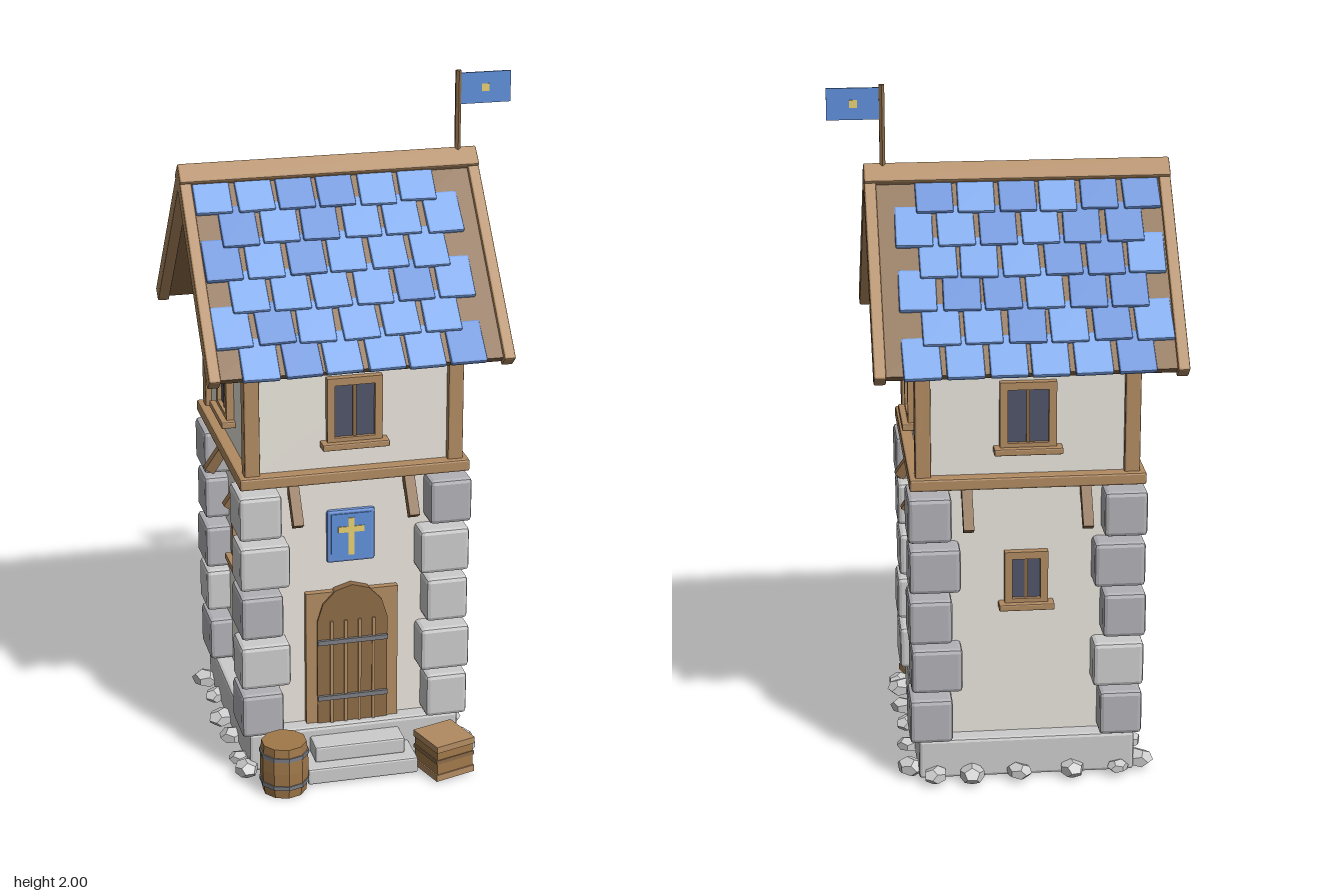
import * as THREE from 'three';
import { RoundedBoxGeometry } from 'three/addons/geometries/RoundedBoxGeometry.js';

const mat = (color) => new THREE.MeshStandardMaterial({ color, flatShading: true });
const M = {
  plaster: mat(0xe9e5dc), wood: mat(0xb18b62), darkWood: mat(0x8a6a48), door: mat(0x8c6a46),
  stoneA: mat(0xc8c8c8), stoneB: mat(0xb2b1b6), base: mat(0xc4c4c4), iron: mat(0x7c7e84),
  tileA: mat(0x7ba6ea), tileB: mat(0x6a92d8), banner: mat(0x5f90da), gold: mat(0xe8d070),
  glass: mat(0x505468), barrel: mat(0xa0784a),
};

let seed = 7;
const rand = () => (seed = (seed * 16807) % 2147483647) / 2147483647;

function add(parent, name, geo, material, x = 0, y = 0, z = 0) {
  const mesh = new THREE.Mesh(geo, material);
  mesh.name = name;
  mesh.position.set(x, y, z);
  parent.add(mesh);
  return mesh;
}
const box = (p, name, m, w, h, d, x, y, z) => add(p, name, new THREE.BoxGeometry(w, h, d), m, x, y, z);
const soft = (p, name, m, w, h, d, x, y, z, r = 0.008) =>
  add(p, name, new RoundedBoxGeometry(w, h, d, 1, r), m, x, y, z);

function group(parent, name, x = 0, y = 0, z = 0) {
  const g = new THREE.Group();
  g.name = name;
  g.position.set(x, y, z);
  parent.add(g);
  return g;
}

// Framed window with mullion and sill, centred on its wall plane
function addWindow(parent, name, w, h, y, z) {
  const g = group(parent, name, 0, y, z);
  const t = 0.022;
  box(g, 'glass', M.glass, w - t, h - t, 0.016, 0, 0, 0);
  for (const s of [-1, 1]) {
    box(g, 'frameSide', M.wood, t, h, 0.04, s * (w - t) / 2, 0, 0);
    box(g, 'frameRail', M.wood, w, t, 0.04, 0, s * (h - t) / 2, 0);
  }
  box(g, 'mullion', M.darkWood, 0.01, h - t, 0.024, 0, 0, 0);
  soft(g, 'sill', M.wood, w + 0.035, 0.02, 0.06, 0, -h / 2, 0.008, 0.004);
}

function addDoor(p, z) {
  const g = group(p, 'door', 0, 0.13, z);
  box(g, 'doorFrame', M.wood, 0.275, 0.42, 0.03, 0, 0.21, 0.005);
  const w = 0.105;
  const arch = new THREE.Shape([[-w, 0], [w, 0], [w, 0.33], [0.088, 0.385], [0.05, 0.425], [0, 0.44],
    [-0.05, 0.425], [-0.088, 0.385], [-w, 0.33]].map(([x, y]) => new THREE.Vector2(x, y)));
  add(g, 'doorLeaf', new THREE.ExtrudeGeometry(arch, { depth: 0.026, bevelEnabled: false }), M.door);
  for (const x of [-0.063, -0.021, 0.021, 0.063])
    box(g, 'plankBatten', M.wood, 0.009, 0.33, 0.012, x, 0.165, 0.025);
  for (const y of [0.085, 0.265]) box(g, 'ironStrap', M.iron, 0.21, 0.014, 0.014, 0, y, 0.028);
}

function addRoofSide(root, s) {
  const turn = group(root, s > 0 ? 'frontRoof' : 'backRoof', 0, 1.735, 0);
  turn.rotation.y = s > 0 ? 0 : Math.PI;
  const slope = group(turn, 'slope');
  slope.rotation.x = 0.848;
  box(slope, 'roofBoard', M.darkWood, 0.82, 0.026, 0.62, 0, 0, 0.31);
  for (const e of [-1, 1]) soft(slope, 'bargeBoard', M.wood, 0.034, 0.046, 0.635, e * 0.418, 0, 0.312, 0.005);
  // Six staggered rows of shingles, nearly flush with the barge boards
  for (let r = 0; r < 6; r++) for (let i = 0; i < 6; i++) {
    const x = -0.289 + i * 0.118 + (r % 2 ? -0.058 : 0) + (rand() - 0.5) * 0.006;
    const tile = soft(slope, 'shingle', rand() < 0.3 ? M.tileB : M.tileA,
      0.105, 0.018, 0.13, s * x, 0.012, 0.568 - r * 0.101 + (rand() - 0.5) * 0.006, 0.005);
    tile.rotation.set(-0.09, (rand() - 0.5) * 0.05, 0);
  }
}

function addBarrel(p) {
  const g = group(p, 'barrel', -0.286, 0, 0.385);
  const profile = [[0, 0.005], [0.064, 0.005], [0.07, 0.05], [0.071, 0.085], [0.07, 0.12], [0.066, 0.162],
    [0, 0.162]].map(([x, y]) => new THREE.Vector2(x, y));
  add(g, 'staves', new THREE.LatheGeometry(profile, 10), M.barrel);
  for (const y of [0.04, 0.13])
    add(g, 'hoop', new THREE.CylinderGeometry(0.0725, 0.0725, 0.012, 10), M.iron, 0, y, 0);
}

function addCrate(p) {
  const g = group(p, 'crate', 0.195, 0.066, 0.383);
  g.rotation.y = 0.3;
  box(g, 'crateBody', M.barrel, 0.122, 0.106, 0.122, 0, 0, 0);
  for (const y of [-0.046, 0.046]) box(g, 'crateBand', M.wood, 0.13, 0.02, 0.13, 0, y, 0);
  box(g, 'crateSlat', M.darkWood, 0.128, 0.012, 0.128, 0, 0.005, 0);
}

export function createModel() {
  const model = new THREE.Group();
  model.name = 'watchtower';
  const root = group(model, 'tower', -0.05, 0, -0.038);

  // Foundation, lower wall, and upper storey with gables
  soft(root, 'foundation', M.base, 0.632, 0.122, 0.632, 0, 0.071, 0, 0.01);
  box(root, 'lowerWall', M.plaster, 0.53, 0.8, 0.53, 0, 0.52, 0);
  const gable = new THREE.Shape([[-0.3, 0.925], [0.3, 0.925], [0.3, 1.37], [0, 1.705], [-0.3, 1.37]]
    .map(([x, y]) => new THREE.Vector2(x, y)));
  const upper = new THREE.ExtrudeGeometry(gable, { depth: 0.6, bevelEnabled: false });
  upper.translate(0, 0, -0.3).rotateY(Math.PI / 2);
  add(root, 'upperWall', upper, M.plaster);

  // Corner stones of alternating length, and timber corner posts
  for (const sx of [-1, 1]) for (const sz of [-1, 1]) {
    for (let i = 0; i < 5; i++) {
      const w = i % 2 ? 0.148 : 0.125, d = i % 2 ? 0.125 : 0.148, out = 0.335 + rand() * 0.008;
      soft(root, 'cornerStone', rand() < 0.5 ? M.stoneA : M.stoneB, w, 0.135, d,
        sx * (out - w / 2), 0.202 + i * 0.155, sz * (out - d / 2), 0.013);
    }
    soft(root, 'cornerPost', M.wood, 0.045, 0.39, 0.045, sx * 0.296, 1.13, sz * 0.296, 0.005);
  }

  // Parts repeated on each of the four sides
  for (let k = 0; k < 4; k++) {
    const side = group(root, ['frontSide', 'leftSide', 'backSide', 'rightSide'][k]);
    side.rotation.y = k * Math.PI / 2;
    soft(side, 'floorBeam', M.wood, 0.67, 0.036, 0.055, 0, 0.928, 0.308, 0.006);
    soft(side, 'topBeam', M.wood, 0.63, 0.03, 0.035, 0, 1.315, 0.3, 0.005);
    addWindow(side, 'upperWindow', 0.16, 0.2, 1.12, 0.302);
    if (k > 0) addWindow(side, 'lowerWindow', 0.125, 0.165, 0.617, 0.267);
    for (const s of [-1, 1]) {
      const brace = box(side, 'brace', M.darkWood, 0.03, 0.15, 0.03, s * (k % 2 ? 0.145 : 0.17), 0.85, 0.295);
      brace.rotation.x = -0.6;
    }
    // Rubble half buried along the foot of the wall
    const spots = k === 0 ? [-0.34, 0.335] : [-0.27, -0.16, -0.02, 0.12, 0.27];
    for (const x of spots) {
      const r = 0.027 + rand() * 0.012;
      const rock = add(side, 'rock', new THREE.DodecahedronGeometry(r, 0), M.stoneA,
        x + (rand() - 0.5) * 0.03, 0.03, 0.325 + rand() * 0.015);
      rock.scale.set(1.2, 0.72, 1);
      rock.rotation.y = rand() * 6;
    }
  }

  // Entrance: door, steps and blue plaque with a cross
  addDoor(root, 0.265);
  soft(root, 'lowerStep', M.base, 0.33, 0.05, 0.14, 0, 0.032, 0.36, 0.006);
  soft(root, 'upperStep', M.base, 0.27, 0.05, 0.11, 0, 0.08, 0.335, 0.006);
  const plaque = group(root, 'plaque', 0, 0.718, 0.262);
  soft(plaque, 'plaqueBoard', M.tileB, 0.143, 0.165, 0.024, 0, 0, 0, 0.008);
  box(plaque, 'plaqueField', M.banner, 0.118, 0.14, 0.006, 0, 0, 0.012);
  box(plaque, 'crossUpright', M.gold, 0.018, 0.115, 0.012, 0, 0, 0.012);
  box(plaque, 'crossArm', M.gold, 0.078, 0.018, 0.011, 0, 0.022, 0.012);

  // Roof and diamond-set ridge beam
  addRoofSide(root, 1);
  addRoofSide(root, -1);
  soft(root, 'ridgeBeam', M.wood, 0.87, 0.062, 0.062, 0, 1.735, 0, 0.005).rotation.x = Math.PI / 4;

  // Flag
  add(root, 'flagPole', new THREE.CylinderGeometry(0.009, 0.009, 0.26, 6), M.darkWood, 0.38, 1.87, 0);
  box(root, 'flag', M.banner, 0.15, 0.09, 0.006, 0.46, 1.947, 0);
  box(root, 'flagEmblem', M.gold, 0.022, 0.022, 0.009, 0.46, 1.947, 0);

  addBarrel(model);
  addCrate(model);
  return model;
}
